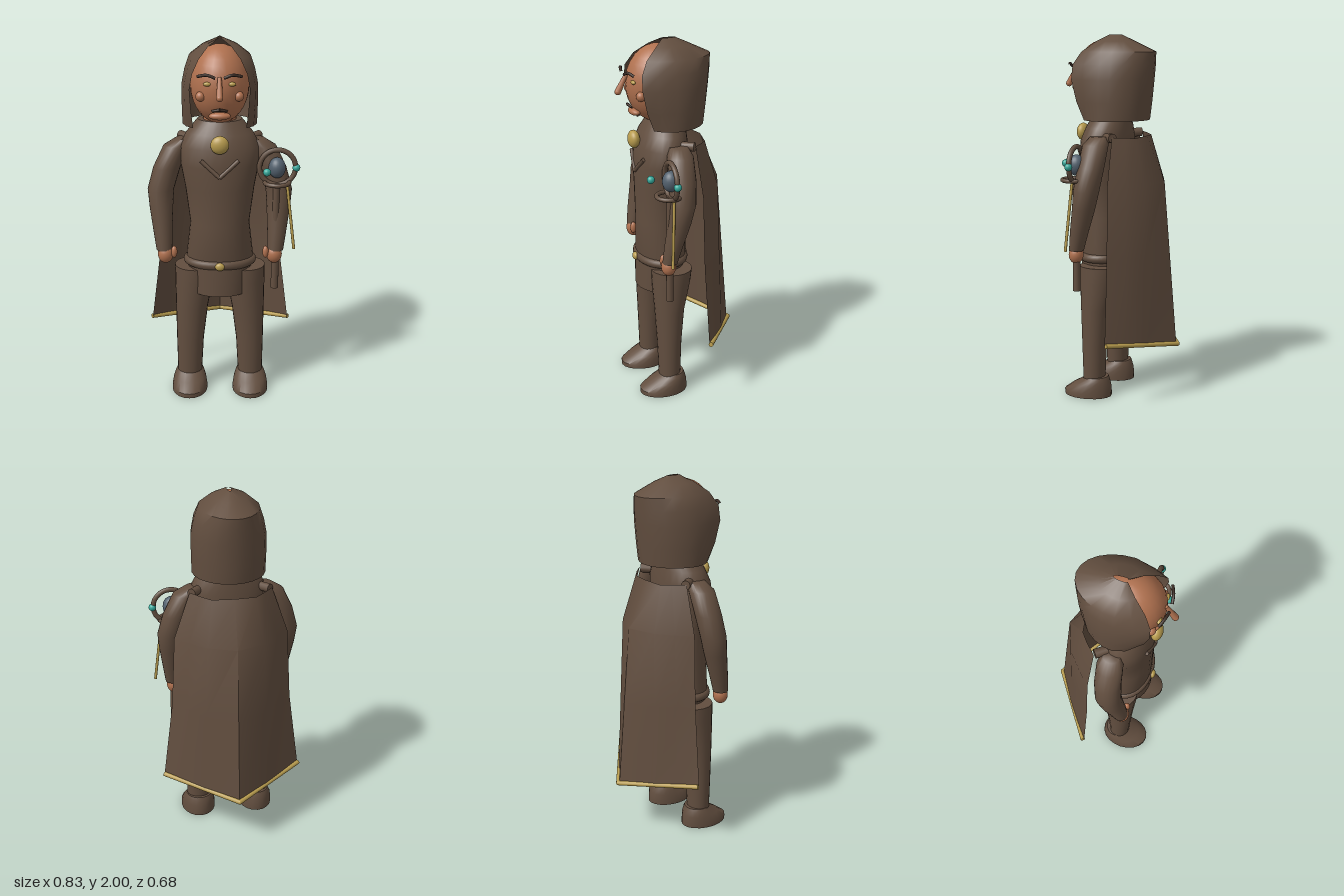
import * as THREE from 'three';
import { toCreasedNormals } from 'three/addons/utils/BufferGeometryUtils.js';

const CX = -0.018; // middle of the body; the staff side reaches further out

const paint = (name, color) => {
  const m = new THREE.MeshStandardMaterial({ color });
  m.name = name;
  return m;
};

// Skin stretched over rows of points, bottom to top, each row running from +z towards +x
function grid(rows, { closed = false, caps = false } = {}) {
  const n = rows[0].length, pos = rows.flat(2), index = [];
  const span = closed ? n : n - 1;
  for (let r = 0; r < rows.length - 1; r++) {
    for (let i = 0; i < span; i++) {
      const a = r * n + i, b = r * n + (i + 1) % n;
      index.push(a, b, b + n, a, b + n, a + n);
    }
  }
  if (caps) {
    [[0, true], [rows.length - 1, false]].forEach(([r, down]) => {
      const c = pos.length / 3;
      const mid = [0, 1, 2].map(k => rows[r].reduce((s, p) => s + p[k], 0) / n);
      pos.push(...mid);
      for (let i = 0; i < n; i++) {
        const a = r * n + i, b = r * n + (i + 1) % n;
        index.push(c, down ? b : a, down ? a : b);
      }
    });
  }
  const g = new THREE.BufferGeometry();
  g.setAttribute('position', new THREE.Float32BufferAttribute(pos, 3));
  g.setIndex(index);
  return toCreasedNormals(g, 0.75);
}

// Closed body of elliptical rings [y, centre x, centre z, radius x, radius z]
function loft(rings, sides = 20) {
  const rows = rings.map(([y, x, z, rx, rz]) => Array.from({ length: sides }, (_, i) => {
    const a = i / sides * Math.PI * 2;
    return [x + rx * Math.sin(a), y, z + rz * Math.cos(a)];
  }));
  return grid(rows, { closed: true, caps: true });
}

// Round bar between two points
function bar(p, q, r0, r1 = r0) {
  const a = new THREE.Vector3(...p), b = new THREE.Vector3(...q), d = b.clone().sub(a);
  const g = new THREE.CylinderGeometry(r1, r0, d.length(), 12);
  g.applyQuaternion(new THREE.Quaternion().setFromUnitVectors(new THREE.Vector3(0, 1, 0), d.normalize()));
  return g.translate(...a.add(b).multiplyScalar(0.5).toArray());
}

const ball = (x, y, z, rx, ry = rx, rz = rx) =>
  new THREE.SphereGeometry(1, 24, 16).scale(rx, ry, rz).translate(x, y, z);

export function createModel() {
  const model = new THREE.Group();
  const body = new THREE.Group();
  body.name = 'figure';
  body.position.x = CX;
  model.add(body);

  const cloth = paint('brown cloth', 0x624e3f);
  const drape = cloth.clone();
  drape.name = 'brown drape';
  drape.side = THREE.DoubleSide;
  const skin = paint('skin', 0xb0714f);
  const gold = paint('gold', 0xb89c4e);
  const dark = paint('dark hair', 0x3d2e26);
  const teal = paint('teal', 0x36aa9c);
  const slate = paint('slate orb', 0x53616e);

  const add = (name, geometry, material, parent = body) => {
    const m = new THREE.Mesh(geometry, material);
    m.name = name;
    parent.add(m);
    return m;
  };

  // Torso, neck and head
  add('torso', loft([
    [0.70, 0, 0.085, 0.17, 0.11], [0.80, 0, 0.09, 0.185, 0.135], [1.0, 0, 0.09, 0.162, 0.135],
    [1.2, 0, 0.09, 0.188, 0.138], [1.33, 0, 0.09, 0.212, 0.142], [1.43, 0, 0.085, 0.215, 0.138],
    [1.50, 0, 0.075, 0.18, 0.122], [1.57, 0, 0.06, 0.12, 0.1],
  ], 28), cloth);
  add('neck', new THREE.CylinderGeometry(0.09, 0.09, 0.12, 20).translate(0, 1.58, 0.06), skin);
  add('head', ball(0, 1.765, 0.10, 0.157, 0.21, 0.175), skin);

  // Face
  add('nose', bar([0, 1.83, 0.27], [0, 1.735, 0.32], 0.01, 0.018), skin);
  add('noseTip', ball(0, 1.733, 0.321, 0.018), skin);
  add('lips', ball(0, 1.62, 0.232, 0.058, 0.021, 0.03), skin);
  for (const s of [-1, 1]) {
    add('cheek', ball(s * 0.10, 1.723, 0.228, 0.026), skin);
    add('eye', ball(s * 0.064, 1.793, 0.257, 0.021, 0.011, 0.012), gold);
    const brow = new THREE.CatmullRomCurve3([[0.022, 1.83, 0.292], [0.065, 1.845, 0.285], [0.115, 1.835, 0.266]]
      .map(([x, y, z]) => new THREE.Vector3(s * x, y, z)));
    add('eyebrow', new THREE.TubeGeometry(brow, 10, 0.008, 8), dark);
    add('moustache', bar([0, 1.66, 0.268], [s * 0.04, 1.652, 0.258], 0.008, 0.006), dark);
  }

  // Hood rows: y, front edge x and z, half width, back z
  const hoodRows = [
    [1.54, 0.14, 0.17, 0.2, -0.15], [1.64, 0.15, 0.21, 0.203, -0.163], [1.76, 0.157, 0.237, 0.203, -0.176],
    [1.84, 0.142, 0.235, 0.187, -0.185], [1.91, 0.108, 0.197, 0.163, -0.19],
    [1.965, 0.06, 0.13, 0.095, -0.075], [2.0, 0.002, 0.07, 0.012, 0],
  ].map(([y, xf, zf, w, zb]) => {
    const zm = 0.06, row = [[xf, y, zf], [(xf + w * 2) / 3, y, (zf + zm) / 2 + 0.01]];
    for (let i = 0; i <= 12; i++) {
      const a = Math.PI * (0.5 + i / 12);
      row.push([w * Math.sin(a), y, zm + (zm - zb) * Math.cos(a)]);
    }
    return row.concat([row[1], row[0]].map(([x, yy, z]) => [-x, yy, z]));
  });
  add('hood', grid(hoodRows), drape);

  // Chest ornaments and belt
  add('brooch', ball(0, 1.465, 0.238, 0.049, 0.049, 0.032), gold);
  for (const s of [-1, 1])
    add('chestChevron', bar([s * 0.1, 1.375, 0.217], [0, 1.285, 0.234], 0.011), cloth);
  add('belt', new THREE.TorusGeometry(1, 0.13, 10, 40).rotateX(Math.PI / 2)
    .scale(0.178, 0.19, 0.13).translate(0, 0.78, 0.092), cloth);
  add('buckle', ball(0, 0.78, 0.238, 0.026, 0.022, 0.016), gold);

  // Front flap of the tunic
  const flapRows = [[0.6, 0.153], [0.77, 0.163]].map(([y, w]) =>
    Array.from({ length: 13 }, (_, i) => {
      const a = (i / 12 - 0.5) * Math.PI * 0.9;
      return [w * Math.sin(a), y, 0.11 + 0.12 * Math.cos(a)];
    }));
  add('frontFlap', grid(flapRows), drape);

  // Limbs, mirrored
  for (const s of [-1, 1]) {
    add('leg', loft([
      [0.08, s * 0.172, 0.1, 0.068, 0.06], [0.3, s * 0.168, 0.1, 0.076, 0.068],
      [0.5, s * 0.157, 0.095, 0.09, 0.083], [0.66, s * 0.143, 0.08, 0.107, 0.108],
      [0.74, s * 0.138, 0.075, 0.113, 0.115],
    ]), cloth);
    add('shoe', loft([
      [0, s * 0.172, 0.138, 0.1, 0.137], [0.025, s * 0.172, 0.138, 0.1, 0.137],
      [0.065, s * 0.172, 0.113, 0.092, 0.108], [0.095, s * 0.172, 0.09, 0.08, 0.076],
      [0.112, s * 0.172, 0.085, 0.07, 0.064],
    ]), cloth);
    add('arm', loft([
      [0.85, s * 0.305, 0.145, 0.043, 0.04], [0.95, s * 0.312, 0.125, 0.052, 0.05],
      [1.08, s * 0.32, 0.095, 0.064, 0.062], [1.18, s * 0.322, 0.078, 0.072, 0.07],
      [1.3, s * 0.288, 0.066, 0.074, 0.072], [1.42, s * 0.235, 0.06, 0.07, 0.07],
      [1.46, s * 0.195, 0.055, 0.045, 0.05],
    ]), cloth);
    add('hand', ball(s * 0.298, 0.825, 0.15, 0.043, 0.05, 0.04), skin);
    add('thumb', ball(s * 0.25, 0.843, 0.165, 0.017, 0.034, 0.018), skin);
  }

  // Cape: half rows fanning out from the middle ridge
  const capeRows = [
    [[0.39, 0.36, -0.055], [0.29, 0.345, -0.135], [0.18, 0.325, -0.215], [0, 0.295, -0.325]],
    [[0.335, 0.8, -0.045], [0.26, 0.8, -0.12], [0.17, 0.79, -0.2], [0, 0.78, -0.285]],
    [[0.315, 1.2, -0.04], [0.24, 1.2, -0.115], [0.155, 1.2, -0.19], [0, 1.2, -0.25]],
    [[0.225, 1.46, -0.03], [0.17, 1.455, -0.085], [0.12, 1.45, -0.125], [0, 1.455, -0.145]],
  ].map(h => [...h, ...h.slice(0, 3).reverse().map(([x, y, z]) => [-x, y, z])]);
  add('cape', grid(capeRows), drape);
  for (const s of [-1, 1]) {
    add('capeHem', bar([s * 0.393, 0.357, -0.063], [0, 0.296, -0.332], 0.013), gold);
    // Shoulder piece joining cape and tunic
    add('capeShoulder', bar([s * 0.215, 1.455, -0.03], [s * 0.15, 1.45, 0.05], 0.025), cloth);
  }
  add('hemTip', ball(0, 0.296, -0.332, 0.013), gold);

  // Staff held in the left hand
  const staff = new THREE.Group();
  staff.name = 'staff';
  model.add(staff);
  add('staffShaft', bar([0.285, 0.625, 0.145], [0.288, 1.23, 0.145], 0.021, 0.018), cloth, staff);
  add('staffRing', new THREE.TorusGeometry(0.097, 0.014, 10, 36).translate(0.292, 1.317, 0.14), cloth, staff);
  add('staffCradle', new THREE.TorusGeometry(0.066, 0.012, 10, 30).rotateX(Math.PI / 2)
    .translate(0.29, 1.235, 0.15), cloth, staff);
  add('staffOrb', ball(0.29, 1.315, 0.14, 0.046, 0.057, 0.046), slate, staff);
  add('staffBead', ball(0.232, 1.315, 0.23, 0.021), teal, staff);
  add('staffBead', ball(0.393, 1.315, 0.14, 0.021), teal, staff);
  add('staffTassel', bar([0.345, 1.225, 0.142], [0.387, 0.86, 0.165], 0.008), gold, staff);

  return model;
}
